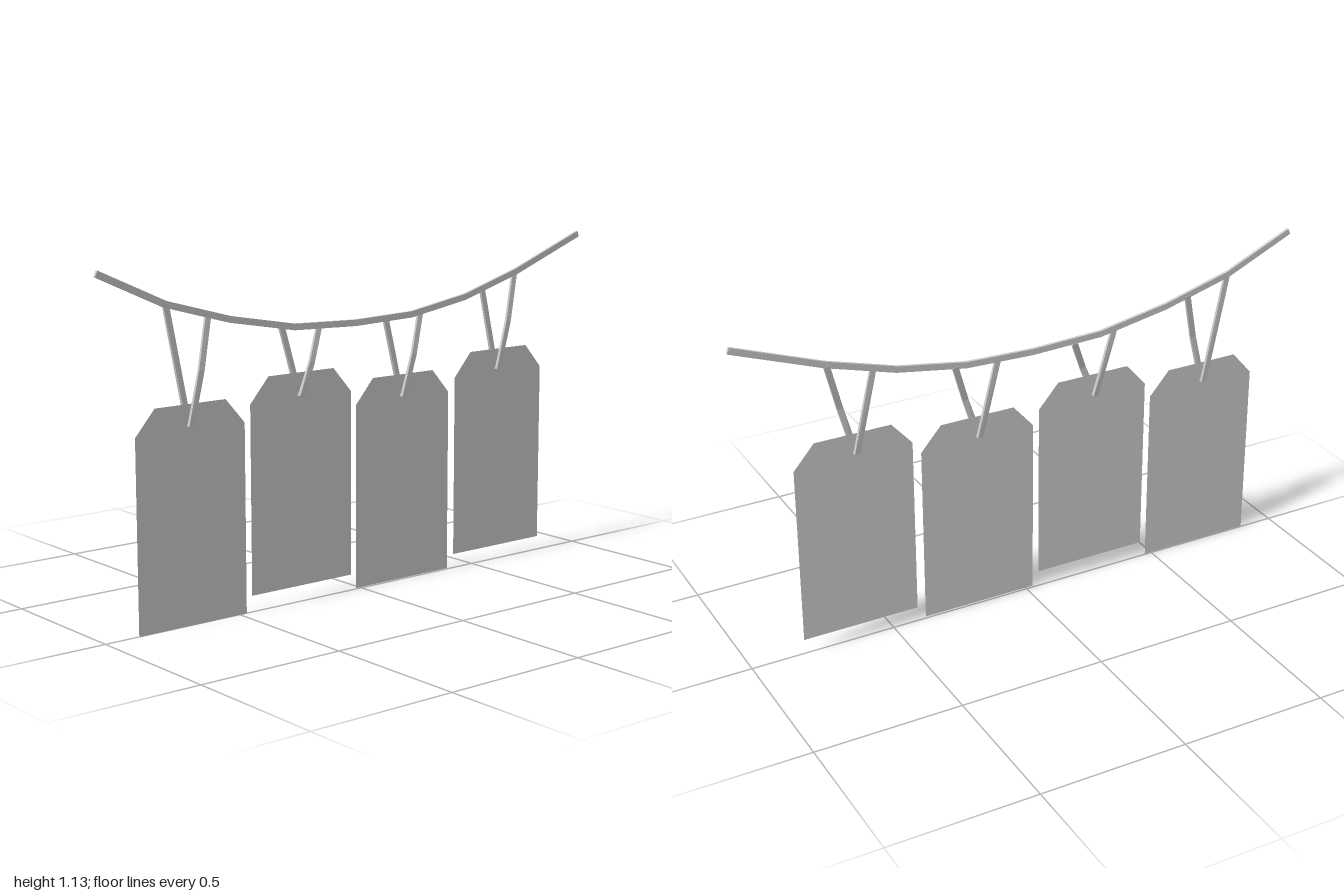
import * as THREE from 'three';

const material = new THREE.MeshStandardMaterial({ color: 0xcccccc, flatShading: true, side: THREE.DoubleSide });

// Sweeps a rectangular section along a polyline with mitred corners.
// "side" is the direction the width is measured in.
function sweep(coords, side, width, depth) {
  const pts = coords.map((c) => new THREE.Vector3(...c));
  const positions = [];
  const index = [];
  pts.forEach((p, i) => {
    const before = pts[Math.max(i - 1, 0)];
    const after = pts[Math.min(i + 1, pts.length - 1)];
    const tIn = (i ? p.clone().sub(before) : after.clone().sub(p)).normalize();
    const tOut = (i < pts.length - 1 ? after.clone().sub(p) : tIn.clone()).normalize();
    const t = tIn.clone().add(tOut).normalize();
    const u = side.clone().addScaledVector(t, -side.dot(t)).normalize();
    const v = t.clone().cross(u).multiplyScalar(depth / 2 / t.dot(tIn));
    u.multiplyScalar(width / 2);
    for (const [a, b] of [[-1, -1], [1, -1], [1, 1], [-1, 1]]) {
      positions.push(...p.clone().addScaledVector(u, a).addScaledVector(v, b).toArray());
    }
    if (i) {
      for (let k = 0; k < 4; k++) {
        const a = (i - 1) * 4 + k, b = (i - 1) * 4 + (k + 1) % 4;
        index.push(a, b, b + 4, a, b + 4, a + 4);
      }
    }
  });
  const e = (pts.length - 1) * 4;
  index.push(0, 2, 1, 0, 3, 2, e, e + 1, e + 2, e, e + 2, e + 3);
  const geometry = new THREE.BufferGeometry();
  geometry.setAttribute('position', new THREE.Float32BufferAttribute(positions, 3));
  geometry.setIndex(index);
  const flat = geometry.toNonIndexed();
  flat.computeVertexNormals();
  return flat;
}

// Flat tag with two clipped top corners, origin at the bottom centre
function tagGeometry() {
  const w = 0.203, h = 0.7, cutX = 0.072, cutY = 0.082;
  return new THREE.ShapeGeometry(new THREE.Shape([
    [-w, 0], [w, 0], [w, h - cutY], [w - cutX, h], [-w + cutX, h], [-w, h - cutY],
  ].map(([x, y]) => new THREE.Vector2(x, y))));
}

export function createModel() {
  const group = new THREE.Group();
  const add = (name, geometry) => {
    const mesh = new THREE.Mesh(geometry, material);
    mesh.name = name;
    group.add(mesh);
    return mesh;
  };

  // Sagging main cord
  const cord = [
    [-1, 1.119], [-0.76, 1.011], [-0.52, 0.945], [-0.27, 0.9], [-0.02, 0.892],
    [0.22, 0.9], [0.46, 0.94], [0.7, 1.011], [1, 1.124],
  ].map(([x, y]) => [x, y, -0.005]);
  add('mainCord', sweep(cord, new THREE.Vector3(0, 0, 1), 0.01, 0.021));

  // Each tag hangs from a string looped through it: x, bottom y, string ends and loop point
  const tags = [
    { x: -0.678, y: 0, left: [-0.757, 1.004], right: [-0.602, 0.967], loop: [-0.683, 0.635] },
    { x: -0.25, y: 0.054, left: [-0.322, 0.905], right: [-0.172, 0.888], loop: [-0.256, 0.683] },
    { x: 0.178, y: 0.004, left: [0.108, 0.892], right: [0.26, 0.902], loop: [0.174, 0.635] },
    { x: 0.613, y: 0.049, left: [0.541, 0.955], right: [0.693, 1.004], loop: [0.605, 0.683] },
  ];
  const plate = tagGeometry();
  const xAxis = new THREE.Vector3(1, 0, 0);
  tags.forEach(({ x, y, left, right, loop }, i) => {
    add(`tag${i + 1}`, plate).position.set(x, y, 0.003);

    // String: down behind the tag, under the loop, up in front and back over the cord
    const mid = [0, 1].map((k) => loop[k] + (right[k] - loop[k]) * 0.5);
    add(`string${i + 1}`, sweep([
      [...left, -0.005], [...loop, -0.005], [...loop, 0.011], [...mid, 0.011], [...right, -0.007],
    ], xAxis, 0.02, 0.009));
  });
  return group;
}
